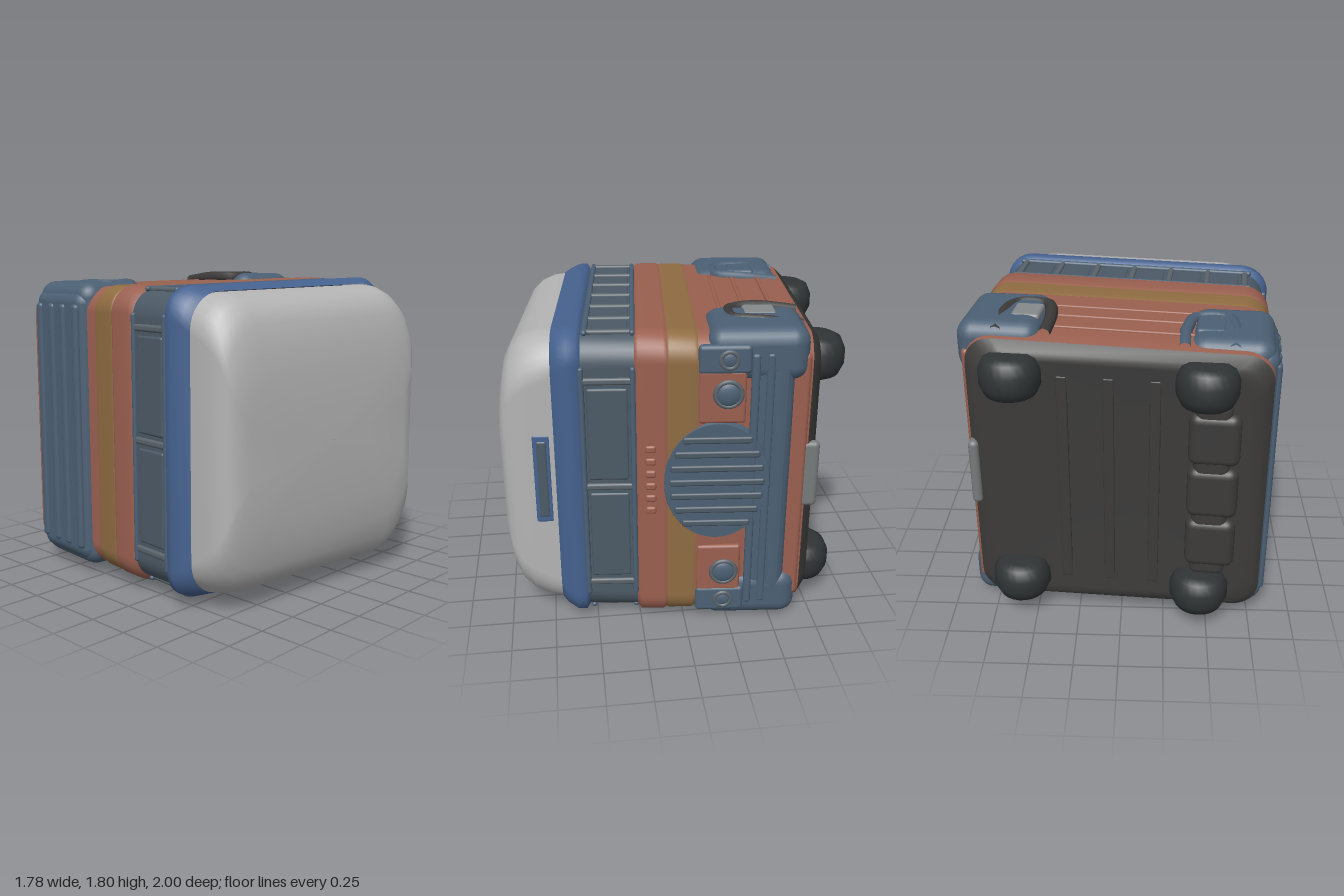
import * as THREE from 'three';
import { RoundedBoxGeometry } from 'three/addons/geometries/RoundedBoxGeometry.js';

const BLUE = 0x4c6074, RIM = 0x46628f, RED = 0x9a6050, ORANGE = 0x8f6c42, GLASS = 0x4c5a66,
  FRAME = 0x5a646b, ROOF = 0xb4b4b4, DARK = 0x3c3b3a, TYRE = 0x303435;

const mat = color => new THREE.MeshStandardMaterial({ color, roughness: 0.8 });
// The body widens slightly toward its front end
const TAPER = 0.022;
const widen = (x, y) => y * (1 + TAPER * x);

// Rounded rectangle ring in x/y at depth z, shifted back near the underside and tilted by lean
function ring([z, hx, hy, r, lean = 0]) {
  const pts = [], shift = Math.min(0, (z + 0.13) * 0.07);
  [[1, 1], [-1, 1], [-1, -1], [1, -1]].forEach(([sx, sy], q) => {
    for (let i = 0; i <= 8; i++) {
      const a = (q + i / 8) * Math.PI / 2;
      const x = sx * (hx - r) + r * Math.cos(a);
      pts.push(x + shift, widen(x, sy * (hy - r) + r * Math.sin(a)), z + lean * x);
    }
  });
  return pts;
}

// Skin through rings listed from low z to high z
function loft(stations) {
  const n = 36, index = [];
  for (let s = 0; s < stations.length - 1; s++) {
    for (let i = 0; i < n; i++) {
      const a = s * n + i, b = s * n + (i + 1) % n;
      index.push(a, b, b + n, a, b + n, a + n);
    }
  }
  const g = new THREE.BufferGeometry();
  g.setAttribute('position', new THREE.Float32BufferAttribute(stations.flatMap(ring), 3));
  g.setIndex(index);
  g.computeVertexNormals();
  return g;
}

export function createModel() {
  const model = new THREE.Group();
  const van = new THREE.Group();
  van.name = 'van';
  van.position.y = 0.91;
  van.rotation.y = -0.085;
  model.add(van);

  const add = (name, geometry, color, x = 0, y = 0, z = 0) => {
    const m = new THREE.Mesh(geometry, mat(color));
    m.name = name;
    m.position.set(x, y, z);
    van.add(m);
    return m;
  };
  const box = (name, color, w, h, d, x, y, z, r = 0.02) =>
    add(name, new RoundedBoxGeometry(w, h, d, 3, Math.min(r, w / 2.1, h / 2.1, d / 2.1)), color, x, y, z);

  // Body bands, from the underside to the roof
  add('underside', loft([[-0.775, 0.001, 0.001, 0.0005], [-0.775, 0.4, 0.4, 0.1], [-0.79, 0.7, 0.72, 0.15],
    [-0.79, 0.77, 0.77, 0.15], [-0.74, 0.82, 0.815, 0.15]]), DARK);
  add('lowerBody', loft([[-0.74, 0.82, 0.815, 0.15], [-0.66, 0.83, 0.835, 0.15], [-0.13, 0.835, 0.845, 0.15]]), RED);
  add('orangeBand', loft([[-0.13, 0.835, 0.845, 0.15], [-0.11, 0.84, 0.853, 0.15], [0.02, 0.84, 0.853, 0.15],
    [0.03, 0.835, 0.848, 0.15]]), ORANGE);
  add('redBand', loft([[0.03, 0.835, 0.848, 0.15], [0.05, 0.843, 0.857, 0.15], [0.18, 0.838, 0.857, 0.15],
    [0.2, 0.815, 0.835, 0.15]]), RED);
  add('windowBand', loft([[0.2, 0.815, 0.835, 0.15], [0.48, 0.81, 0.835, 0.16]]), GLASS);
  add('roofRim', loft([[0.48, 0.81, 0.835, 0.16], [0.5, 0.832, 0.862, 0.16], [0.55, 0.838, 0.862, 0.17],
    [0.61, 0.81, 0.84, 0.18], [0.64, 0.78, 0.83, 0.2]]), RIM);
  add('roof', loft([[0.62, 0.78, 0.825, 0.2], [0.71, 0.78, 0.82, 0.23], [0.79, 0.775, 0.79, 0.25, 0.01],
    [0.85, 0.76, 0.74, 0.26, 0.02], [0.89, 0.74, 0.66, 0.26, 0.025], [0.92, 0.7, 0.52, 0.24, 0.025],
    [0.935, 0.62, 0.36, 0.2, 0.025], [0.942, 0.35, 0.18, 0.1, 0.025], [0.944, 0.001, 0.001, 0.0005]]), ROOF);

  for (const s of [-1, 1]) {
    const tilt = s * 0.85 * TAPER;
    // Side windows with pillars and rails
    for (let i = 0; i < 7; i++) {
      const x = -0.69 + i * 0.23;
      box('windowPillar', FRAME, 0.035, 0.03, 0.27, x, widen(x, s * 0.835), 0.335);
      if (i < 6) box('sideWindow', GLASS, 0.16, 0.03, 0.2, x + 0.115, widen(x, s * 0.827), 0.33);
    }
    for (const z of [0.21, 0.46]) box('windowRail', BLUE, 1.46, 0.03, 0.03, 0, s * 0.838, z).rotation.z = tilt;
    // End windows
    for (let i = 0; i < 3; i++) box('endPillar', FRAME, 0.03, 0.04, 0.29, s * 0.812, (i - 1) * 0.62, 0.345);
    for (const y of [-0.31, 0.31]) box('endWindow', GLASS, 0.03, 0.54, 0.22, s * 0.806, y, 0.345);
    for (const z of [0.21, 0.48]) box('endRail', BLUE, 0.04, 1.4, 0.03, s * 0.812, 0, z);
    // Body side trim lines
    for (const z of [-0.28, -0.42, -0.58]) box('sideTrim', RED, 0.8, 0.02, 0.025, -0.04, s * 0.838, z).rotation.z = tilt;

    for (const e of [-1, 1]) {
      // Rounded corner fenders, standing out more at the front end and top
      const out = 0.868 + e * 0.02 + s * 0.008;
      box('fender', BLUE, 0.46, 0.3, 0.54, e * 0.62 - 0.015, s * (out - 0.15), -0.45, 0.09);
      // Wheel arch around a light inner panel
      const x = e * 0.5 - 0.02;
      const arch = new THREE.CatmullRomCurve3([[-0.13, -0.7], [-0.13, -0.48], [-0.08, -0.33], [0.08, -0.33],
        [0.13, -0.48], [0.13, -0.7]].map(([dx, z]) =>
        new THREE.Vector3(x + dx, s * (out - (z < -0.6 ? 0.05 : 0.025)), z)));
      add('wheelArch', new THREE.TubeGeometry(arch, 30, 0.035, 8), e > 0 ? DARK : BLUE);
      box('archPanel', e > 0 ? 0x85898b : BLUE, 0.16, 0.04, 0.18, x, s * (out - 0.015), -0.48);
      // Wheel with rounded tread
      const tyre = [[0, -0.12], [0.1, -0.12], [0.14, -0.1], [0.167, -0.04], [0.167, 0.04], [0.14, 0.1],
        [0.1, 0.12], [0, 0.12]].map(([r, y]) => new THREE.Vector2(r, y));
      add('wheel', new THREE.LatheGeometry(tyre, 24), TYRE, e * 0.52, s * 0.65, -0.79);
      box('wheelWell', TYRE, 0.24, 0.22, 0.18, e * 0.56, s * 0.66, -0.73, 0.08);
    }
  }

  // Rear end panel with bumper ribs
  box('rearPanel', BLUE, 0.24, 1.62, 0.52, -0.765, 0, -0.46, 0.08);
  for (const z of [-0.27, -0.4, -0.52, -0.65]) box('rearRib', BLUE, 0.05, 1.46, 0.06, -0.875, 0, z, 0.025);

  // Front bumper and ribs, leaning back toward the underside
  box('frontBumper', BLUE, 0.2, 1.7, 0.26, 0.73, 0, -0.52, 0.07).rotation.y = -0.1;
  [-0.43, -0.51, -0.59].forEach((z, i) => box('bumperRib', BLUE, 0.035, 1.54, 0.045, 0.832 - i * 0.008, 0, z, 0.017));
  box('frontSkirt', RED, 0.06, 1.5, 0.1, 0.77, 0, -0.68, 0.025);

  // Round front grille with horizontal slats
  const disc = add('grille', new THREE.CylinderGeometry(0.35, 0.37, 0.04, 40), BLUE, 0.825, 0.03, -0.24);
  disc.rotation.z = -Math.PI / 2;
  disc.scale.z = 0.82;
  for (let i = -3; i <= 3; i++) {
    const y = i * 0.085;
    const length = 0.52 * Math.sqrt(1 - (y / 0.37) ** 2);
    box('grilleSlat', GLASS, 0.025, 0.04, length, 0.843, 0.03 + y, -0.24, 0.012);
  }

  // Headlights and indicators
  for (const s of [-1, 1]) {
    box('lampPanel', RED, 0.04, 0.3, 0.25, 0.825, s * 0.53, -0.26, 0.018);
    box('cornerPanel', BLUE, 0.05, 0.16, 0.28, 0.825, s * 0.74, -0.27, 0.024);
    for (const [y, r] of [[0.55, 0.07], [0.74, 0.045]]) {
      const lamp = add('headlight', new THREE.SphereGeometry(r, 18, 12), BLUE, 0.843, s * y, -0.29);
      lamp.scale.x = 0.4;
      const lampRim = add('lampRim', new THREE.TorusGeometry(r, 0.013, 8, 24), FRAME, 0.847, s * y, -0.29);
      lampRim.rotation.y = Math.PI / 2;
    }
  }

  // Front roof slot
  box('roofSlotFrame', RIM, 0.03, 0.54, 0.1, 0.768, 0.03, 0.71, 0.014);
  box('roofSlot', GLASS, 0.03, 0.47, 0.06, 0.773, 0.03, 0.71, 0.014);
  // Beads along the red band
  for (let i = 0; i < 6; i++) box('frontBead', RED, 0.03, 0.045, 0.06, 0.836, -0.14 + i * 0.075, 0.12);

  // Blank front plate
  box('frontPlate', 0x777a7a, 0.06, 0.4, 0.11, 0.755, 0.03, -0.755, 0.028);

  // Rear axle blocks and underside ribs
  for (let i = -1; i <= 1; i++) box('axleBlock', DARK, 0.28, 0.31, 0.13, -0.57, i * 0.33, -0.77, 0.05);
  box('rearAxle', DARK, 0.2, 1.1, 0.1, -0.56, 0, -0.775, 0.045);
  for (const x of [-0.25, 0, 0.25]) box('floorRib', DARK, 0.06, 1.3, 0.02, x, 0, -0.78, 0.009);
  return model;
}
